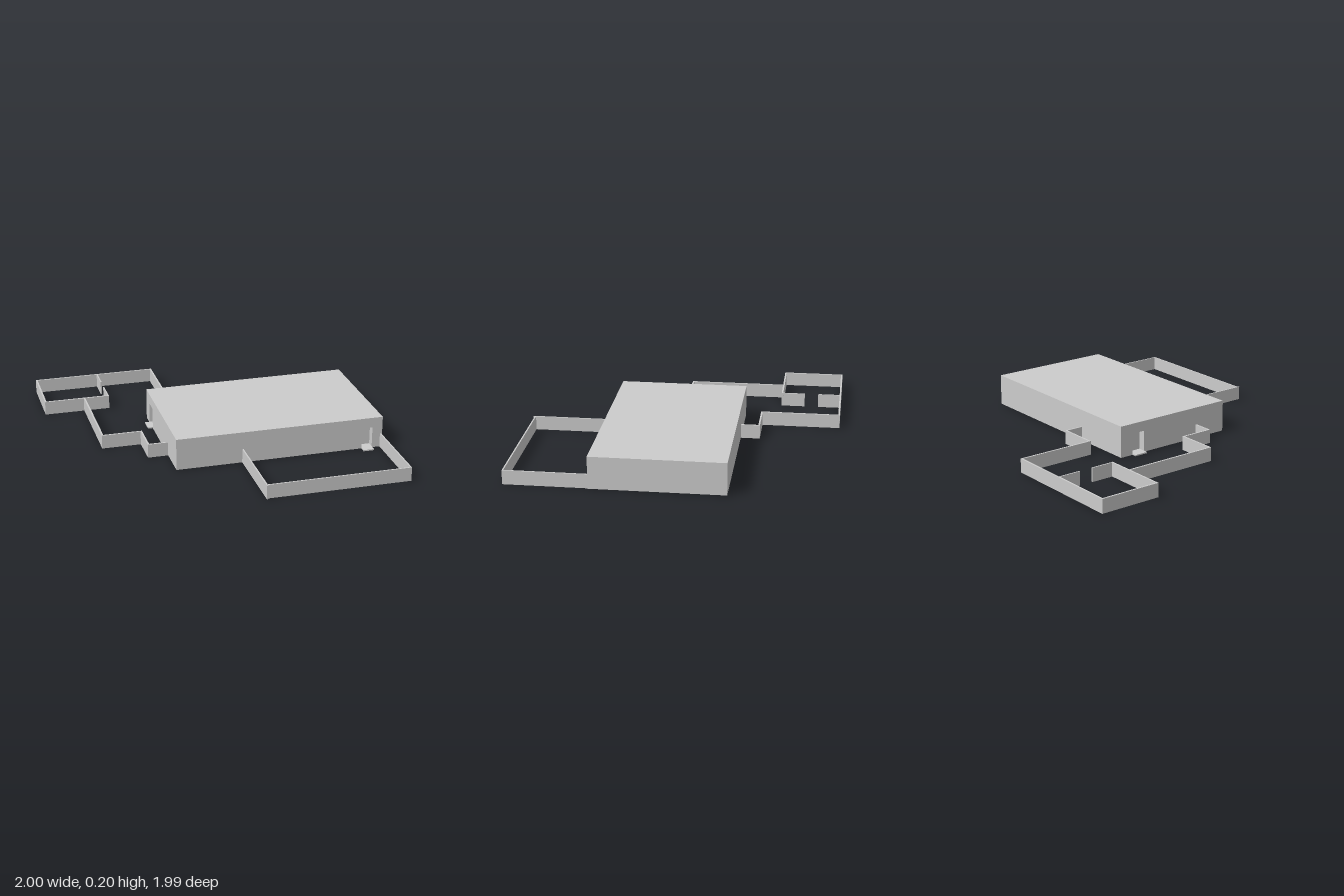
import * as THREE from 'three';

const material = new THREE.MeshStandardMaterial({ color: 0xcccccc, flatShading: true });

// Box given by its extents on each axis
function block(name, x0, x1, y0, y1, z0, z1) {
  const mesh = new THREE.Mesh(new THREE.BoxGeometry(x1 - x0, y1 - y0, z1 - z0), material);
  mesh.position.set((x0 + x1) / 2, (y0 + y1) / 2, (z0 + z1) / 2);
  mesh.name = name;
  return mesh;
}

export function createModel() {
  const model = new THREE.Group();
  model.name = 'walledCompound';

  // Main hall: plan with two doorway recesses, closed above by a solid slab
  const X0 = -0.355, X1 = 0.997, Z0 = -0.365, Z1 = 0.467;
  const doorTop = 0.14, roofTop = 0.205, recess = 0.045;
  const front = { a: 0.86, b: 0.93 };
  const side = { a: -0.276, b: -0.185 };
  const plan = [
    [X0, Z1], [front.a, Z1], [front.a, Z1 - recess], [front.b, Z1 - recess], [front.b, Z1],
    [X1, Z1], [X1, Z0], [X0, Z0],
    [X0, side.a], [X0 + recess, side.a], [X0 + recess, side.b], [X0, side.b],
  ];
  const shape = new THREE.Shape(plan.map(([x, z]) => new THREE.Vector2(x, -z)));
  const lower = new THREE.ExtrudeGeometry(shape, { depth: doorTop, bevelEnabled: false });
  lower.rotateX(-Math.PI / 2);
  const hall = new THREE.Mesh(lower, material);
  hall.name = 'hallWalls';
  model.add(hall, block('hallRoof', X0, X1, doorTop, roofTop, Z0, Z1));

  // Doorsteps running from the recess out past the wall
  model.add(
    block('frontDoorstep', front.a, front.b, 0, 0.008, Z1 - recess, 0.513),
    block('sideDoorstep', -0.387, X0 + recess, 0, 0.008, side.a, side.b),
  );

  // Low yard walls: centre lines in plan, each run of points is one wall chain
  const height = 0.09;
  const chains = {
    frontYardWall: { t: 0.009, points: [[0.073, Z1], [0.073, 0.98], [0.987, 0.98], [0.987, Z1]] },
    frontYardWallEnd: { t: 0.009, points: [[0.073, 0.98], [0.073, 0.989]] },
    backYardWall: {
      t: 0.011,
      points: [[0.062, Z0], [0.062, -0.482], [-0.187, -0.482], [-0.187, -0.988],
        [-0.995, -0.988], [-0.995, -0.595], [-0.57, -0.595]],
    },
    sideYardWall: {
      t: 0.011,
      points: [[-0.732, -0.595], [-0.732, 0.034], [-0.48, 0.034], [-0.48, 0.242], [X0, 0.242]],
    },
    penWallBack: { t: 0.008, points: [[-0.57, -0.988], [-0.57, -0.842]] },
    penWallFront: { t: 0.008, points: [[-0.57, -0.743], [-0.57, -0.595]] },
  };
  for (const [name, { t, points }] of Object.entries(chains)) {
    const chain = new THREE.Group();
    chain.name = name;
    const h = t / 2;
    for (let i = 1; i < points.length; i++) {
      const [ax, az] = points[i - 1], [bx, bz] = points[i];
      chain.add(block('wallSegment',
        Math.min(ax, bx) - h, Math.max(ax, bx) + h, 0, height,
        Math.min(az, bz) - h, Math.max(az, bz) + h));
    }
    model.add(chain);
  }
  return model;
}
